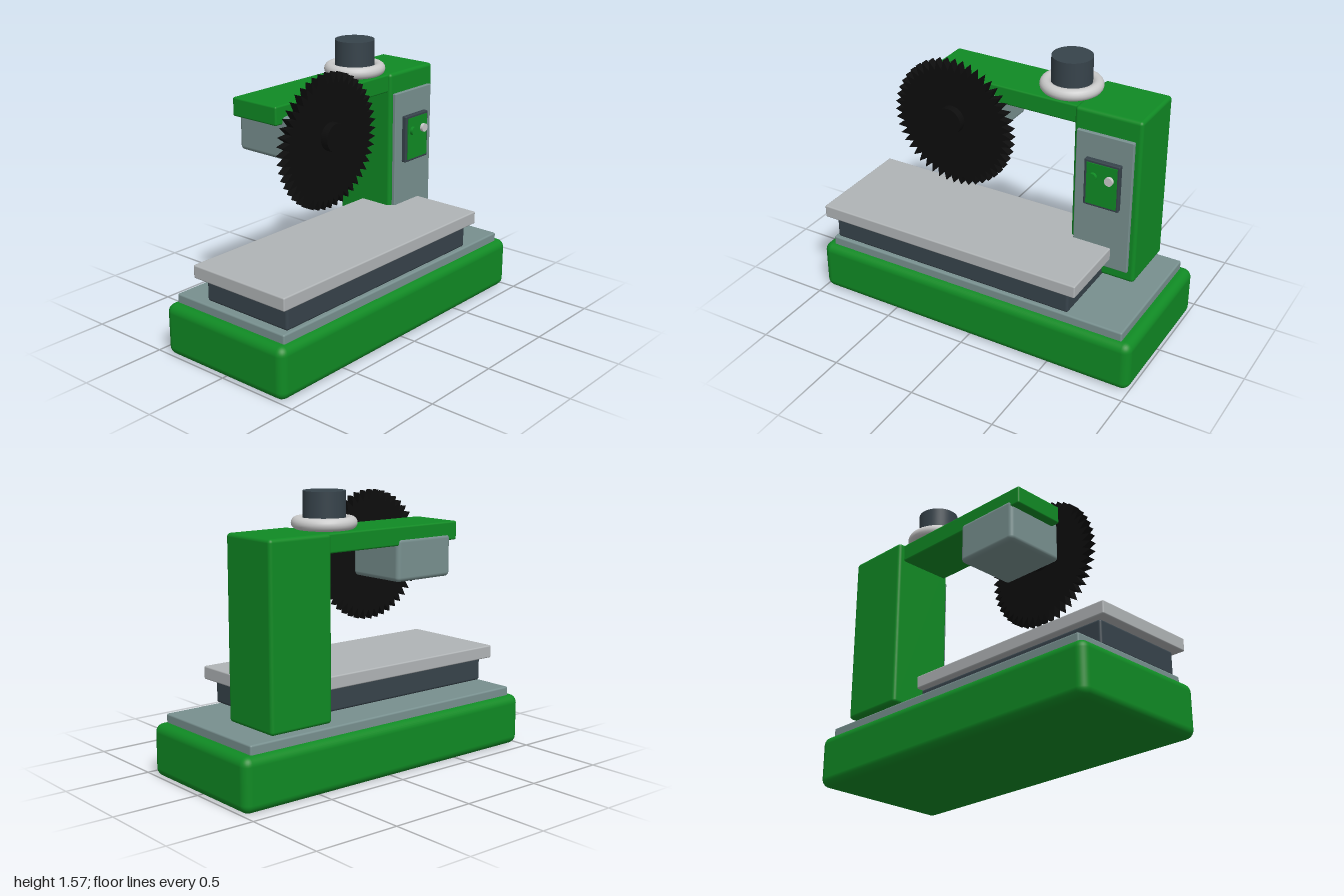
import * as THREE from 'three';
import { RoundedBoxGeometry } from 'three/addons/geometries/RoundedBoxGeometry.js';

const paint = (name, color) => Object.assign(new THREE.MeshStandardMaterial({ color }), { name });

export function createModel() {
  const green = paint('machine green', 0x108a24);
  const slate = paint('dark slate', 0x37434b);
  const steel = paint('blue grey', 0x78908f);
  const silver = paint('table silver', 0xb0b4b6);
  const chrome = paint('light chrome', 0xcacaca);
  const black = paint('blade black', 0x0d0d0d);

  const model = new THREE.Group();
  model.name = 'surfaceGrinder';

  const add = (name, geometry, material, x = 0, y = 0, z = 0) => {
    const mesh = new THREE.Mesh(geometry, material);
    mesh.name = name;
    mesh.position.set(x, y, z);
    model.add(mesh);
    return mesh;
  };

  // Rounded box given by its minimum and maximum corners
  const block = (name, material, [x0, y0, z0], [x1, y1, z1], radius) =>
    add(name, new RoundedBoxGeometry(x1 - x0, y1 - y0, z1 - z0, 4, radius), material,
      (x0 + x1) / 2, (y0 + y1) / 2, (z0 + z1) / 2);

  // Cylinder lying along z
  const rod = (name, material, radius, x, y, z0, z1) =>
    add(name, new THREE.CylinderGeometry(radius, radius, z1 - z0, 32).rotateX(Math.PI / 2),
      material, x, y, (z0 + z1) / 2);

  // Base and work table
  block('base', green, [-1, 0, -0.435], [1, 0.3, 0.435], 0.05);
  block('basePlate', steel, [-0.94, 0.28, -0.395], [0.935, 0.35, 0.395], 0.01);
  block('tableSlide', slate, [-0.91, 0.358, -0.19], [0.61, 0.5, 0.39], 0.015);
  block('table', silver, [-0.965, 0.495, -0.23], [0.665, 0.57, 0.425], 0.008);

  // Column and overhanging arm
  block('column', green, [0.41, 0.37, -0.397], [0.805, 1.37, -0.02], 0.02);
  block('columnPanel', steel, [0.435, 0.44, -0.04], [0.77, 1.25, 0], 0.005);
  block('arm', green, [-0.52, 1.26, -0.36], [0.43, 1.365, -0.04], 0.01);

  // Control box with its buttons
  block('controlBox', slate, [0.5, 0.825, -0.01], [0.71, 1.105, 0.027], 0.006);
  add('controlFace', new THREE.BoxGeometry(0.18, 0.25, 0.008), green, 0.607, 0.965, 0.028);
  rod('startButton', green, 0.025, 0.557, 1.012, 0.02, 0.05);
  rod('stopButton', chrome, 0.025, 0.655, 1.012, 0.02, 0.05);

  // Motor cap with collar on top of the arm
  add('motorCap', new THREE.CylinderGeometry(0.114, 0.114, 0.23, 40), slate, 0.3, 1.455, -0.197);
  add('collar', new THREE.TorusGeometry(0.142, 0.034, 16, 48).rotateX(Math.PI / 2), chrome, 0.3, 1.402, -0.197);

  // Spindle housing and hub
  block('spindleHousing', steel, [-0.47, 1.06, -0.365], [-0.075, 1.3, 0.008], 0.025);
  rod('hub', black, 0.079, -0.268, 1.182, 0, 0.165);

  // Toothed disc
  const teeth = 48;
  const outline = [];
  for (let i = 0; i < teeth * 2; i++) {
    const a = (i / teeth) * Math.PI;
    const r = i % 2 ? 0.318 : 0.375;
    outline.push(new THREE.Vector2(r * Math.cos(a), r * Math.sin(a)));
  }
  const disc = new THREE.ExtrudeGeometry(new THREE.Shape(outline), { depth: 0.046, bevelEnabled: false });
  add('blade', disc, black, -0.268, 1.15, 0.074);

  return model;
}
